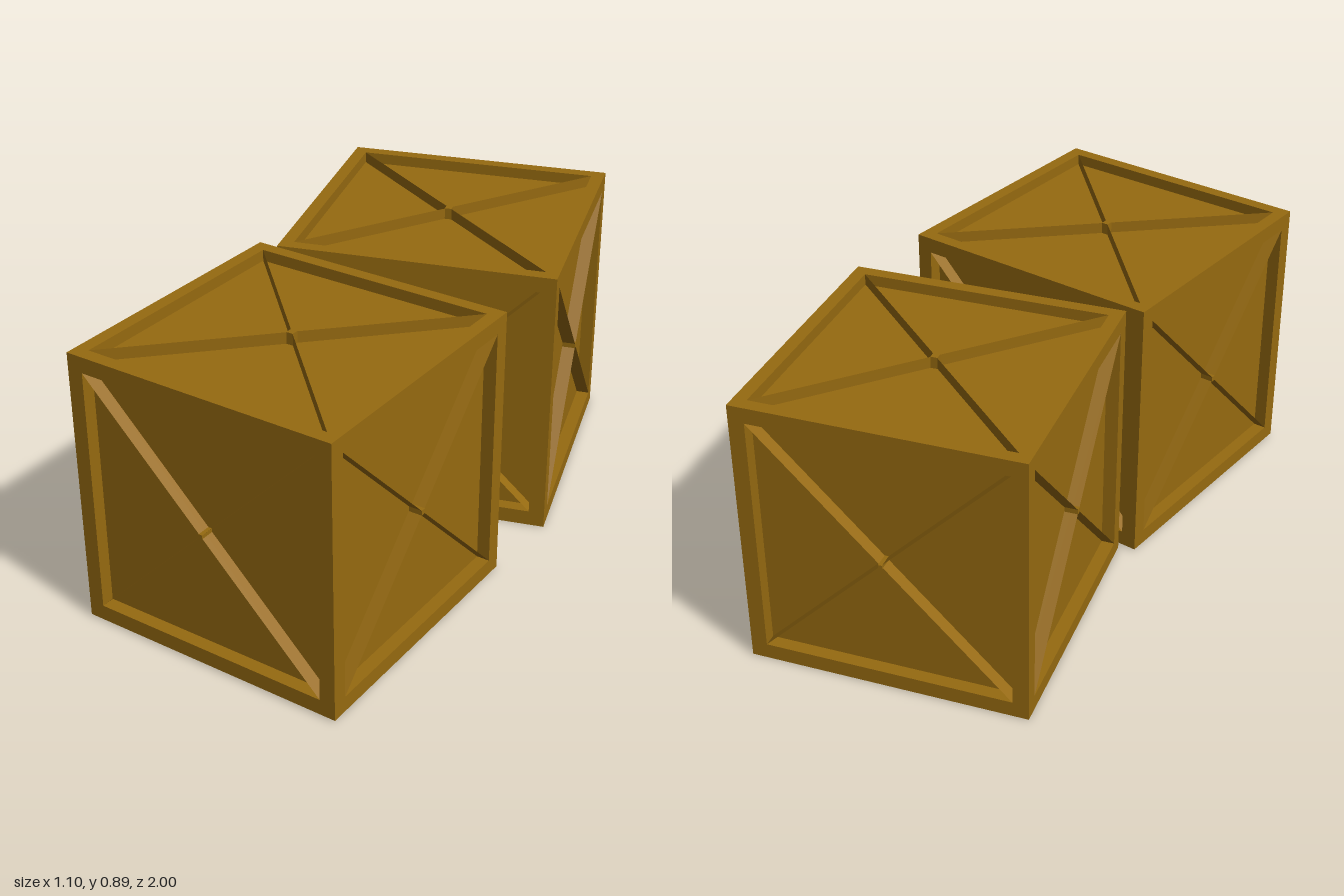
import * as THREE from 'three';

const HALF = 0.44;      // half the crate's side
const INNER = 0.39;     // half the opening of a side frame
const DEPTH = 0.042;    // recess of the side panels
const TOP_DEPTH = 0.036;
const CORE = HALF - DEPTH;

const wood = new THREE.MeshStandardMaterial({ color: 0x966a10 });
const thinWood = new THREE.MeshStandardMaterial({ color: 0x966a10, side: THREE.DoubleSide });

function add(parent, name, geometry, material = wood) {
  const mesh = new THREE.Mesh(geometry, material);
  mesh.name = name;
  parent.add(mesh);
  return mesh;
}

// Square frame standing in the xy plane, its outer surface at z = HALF
function frameGeometry(halfWidth) {
  const shape = new THREE.Shape([
    new THREE.Vector2(-halfWidth, -HALF), new THREE.Vector2(halfWidth, -HALF),
    new THREE.Vector2(halfWidth, HALF), new THREE.Vector2(-halfWidth, HALF),
  ]);
  shape.holes.push(new THREE.Path([
    new THREE.Vector2(-INNER, -INNER), new THREE.Vector2(-INNER, INNER),
    new THREE.Vector2(INNER, INNER), new THREE.Vector2(INNER, -INNER),
  ]));
  return new THREE.ExtrudeGeometry(shape, { depth: DEPTH, bevelEnabled: false }).translate(0, 0, CORE);
}

// Two thin upright diagonal braces and a small hub where they cross
function addCross(parent, half, depth, hubSize, hubRise = 0) {
  const middle = HALF - depth / 2;
  for (const side of [-1, 1]) {
    const brace = add(parent, 'diagonalBrace',
      new THREE.PlaneGeometry(2 * half * Math.SQRT2, depth).rotateX(Math.PI / 2), thinWood);
    brace.rotation.z = side * Math.PI / 4;
    brace.position.z = middle;
  }
  const hub = add(parent, 'braceHub', new THREE.BoxGeometry(hubSize, hubSize, depth + hubRise + 0.001));
  hub.position.z = middle + hubRise / 2 + 0.0005;
}

function createCrate(name) {
  const crate = new THREE.Group();
  crate.name = name;

  // Solid body whose faces are the recessed panels
  const height = 2 * HALF - TOP_DEPTH;
  add(crate, 'panelBody', new THREE.BoxGeometry(2 * CORE, height, 2 * CORE)).position.y = -TOP_DEPTH / 2;

  // Four framed sides; left and right fit between front and back
  ['frontSide', 'leftSide', 'backSide', 'rightSide'].forEach((sideName, i) => {
    const side = new THREE.Group();
    side.name = sideName;
    side.rotation.y = i * Math.PI / 2;
    add(side, 'sideFrame', frameGeometry(i % 2 ? CORE : HALF));
    addCross(side, INNER, DEPTH, i % 2 ? 0.016 : 0.012, i === 2 ? 0.005 : 0);
    crate.add(side);
  });

  // The top is bordered by the upper rails of the sides
  const top = new THREE.Group();
  top.name = 'top';
  top.rotation.x = -Math.PI / 2;
  addCross(top, CORE, TOP_DEPTH, 0.022);
  crate.add(top);
  return crate;
}

export function createModel() {
  const model = new THREE.Group();
  model.name = 'crates';

  const front = createCrate('frontCrate');
  front.position.set(0.1, HALF + 0.005, 0.56);

  const back = createCrate('backCrate');
  back.position.set(0, HALF, -0.448);
  back.rotation.y = THREE.MathUtils.degToRad(17.5);

  model.add(front, back);
  return model;
}
